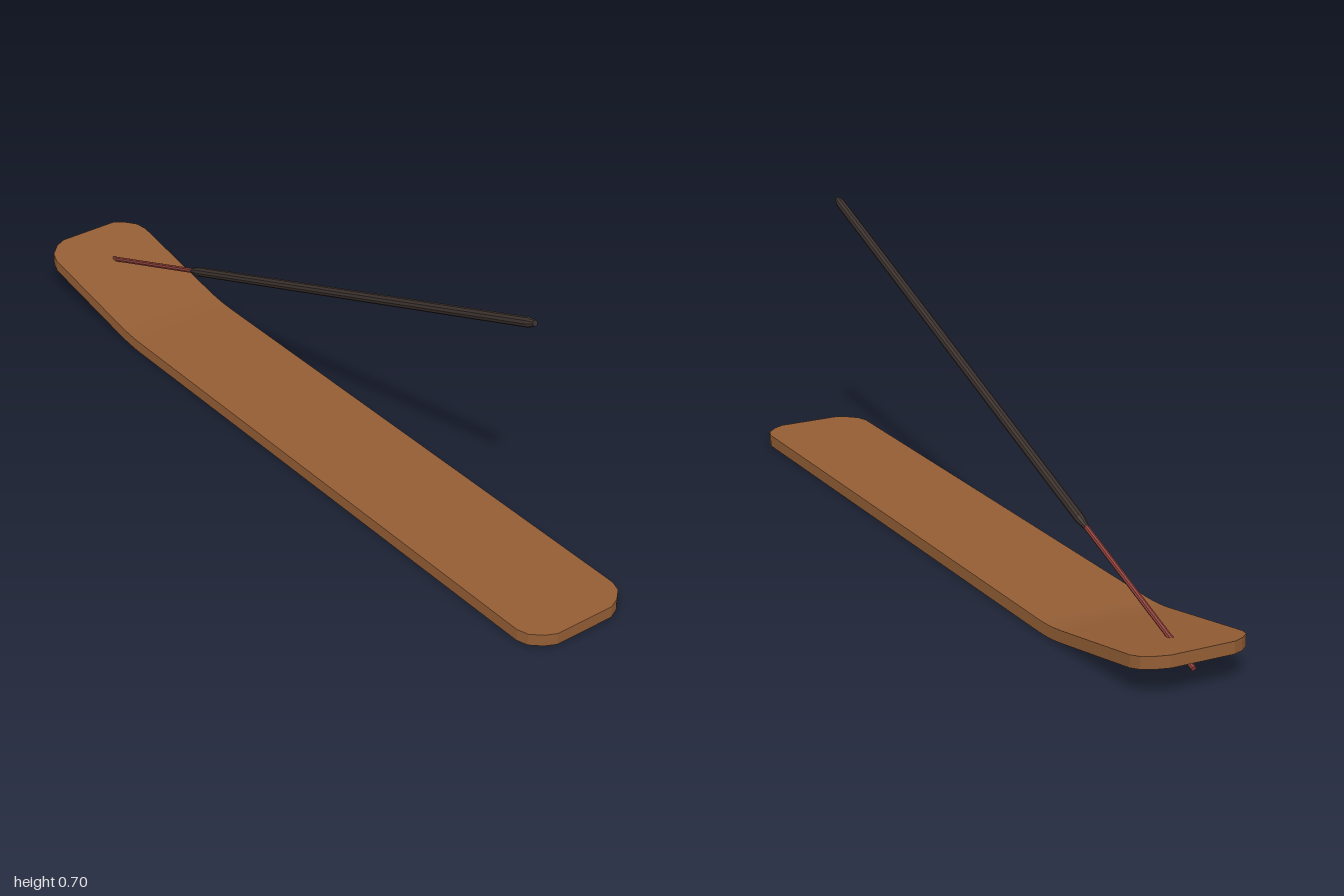
import * as THREE from 'three';

const wood = new THREE.MeshStandardMaterial({ name: 'warm wood', color: 0x935d35, flatShading: true });
const bamboo = new THREE.MeshStandardMaterial({ name: 'red bamboo', color: 0x8f403a, flatShading: true });
const incense = new THREE.MeshStandardMaterial({ name: 'dark incense', color: 0x3c322e, flatShading: true });

// Height of the underside: flat, then a short curve, then a straight ramp
function lift(x) {
  const t = -0.54 - x, bend = 0.1, slope = 0.178;
  if (t <= 0) return 0;
  return t < bend ? slope * t * t / (2 * bend) : slope * (t - bend / 2);
}

// Flat board with rounded corners and one end bent upward
function makeBoard() {
  const corner = [[1, 0.08], [0.987, 0.107], [0.963, 0.133], [0.935, 0.142]];
  const stations = [
    ...corner.map(([x, w]) => [-x, w]),
    ...[-0.64, -0.615, -0.59, -0.565, -0.54].map(x => [x, 0.142]),
    ...[...corner].reverse(),
  ];
  const n = stations.length - 1;
  const geo = new THREE.BoxGeometry(2, 0.03, 2, n, 1, 1);
  const pos = geo.attributes.position;
  for (let i = 0; i < pos.count; i++) {
    const [x, w] = stations[Math.round((pos.getX(i) + 1) / 2 * n)];
    pos.setXYZ(i, x, pos.getY(i) + 0.015 + lift(x), Math.sign(pos.getZ(i)) * w);
  }
  geo.computeVertexNormals();
  return new THREE.Mesh(geo, wood);
}

// Turned rod along the stick axis; profile is [radius, distance]
function makeRod(profile, sides, material) {
  const points = profile.map(([r, d]) => new THREE.Vector2(r, d));
  return new THREE.Mesh(new THREE.LatheGeometry(points, sides), material);
}

export function createModel() {
  const model = new THREE.Group();
  model.name = 'incenseHolder';

  const board = makeBoard();
  board.name = 'board';
  model.add(board);

  // Slanted stick passing through the raised end of the board
  const start = new THREE.Vector3(-0.965, 0.042, 0);
  const end = new THREE.Vector3(0.79, 0.697, 0);
  const axis = end.clone().sub(start);
  const length = axis.length();
  const stick = new THREE.Group();
  stick.name = 'incenseStick';
  stick.position.copy(start);
  stick.quaternion.setFromUnitVectors(new THREE.Vector3(0, 1, 0), axis.normalize());

  const core = makeRod([[0, 0], [0.0065, 0], [0.0065, 0.52], [0, 0.52]], 8, bamboo);
  core.name = 'stickCore';
  const coating = makeRod([
    [0, 0.49], [0.007, 0.49], [0.012, 0.52],
    [0.012, length - 0.02], [0.007, length], [0, length],
  ], 10, incense);
  coating.name = 'incenseCoating';
  stick.add(core, coating);
  model.add(stick);

  return model;
}
